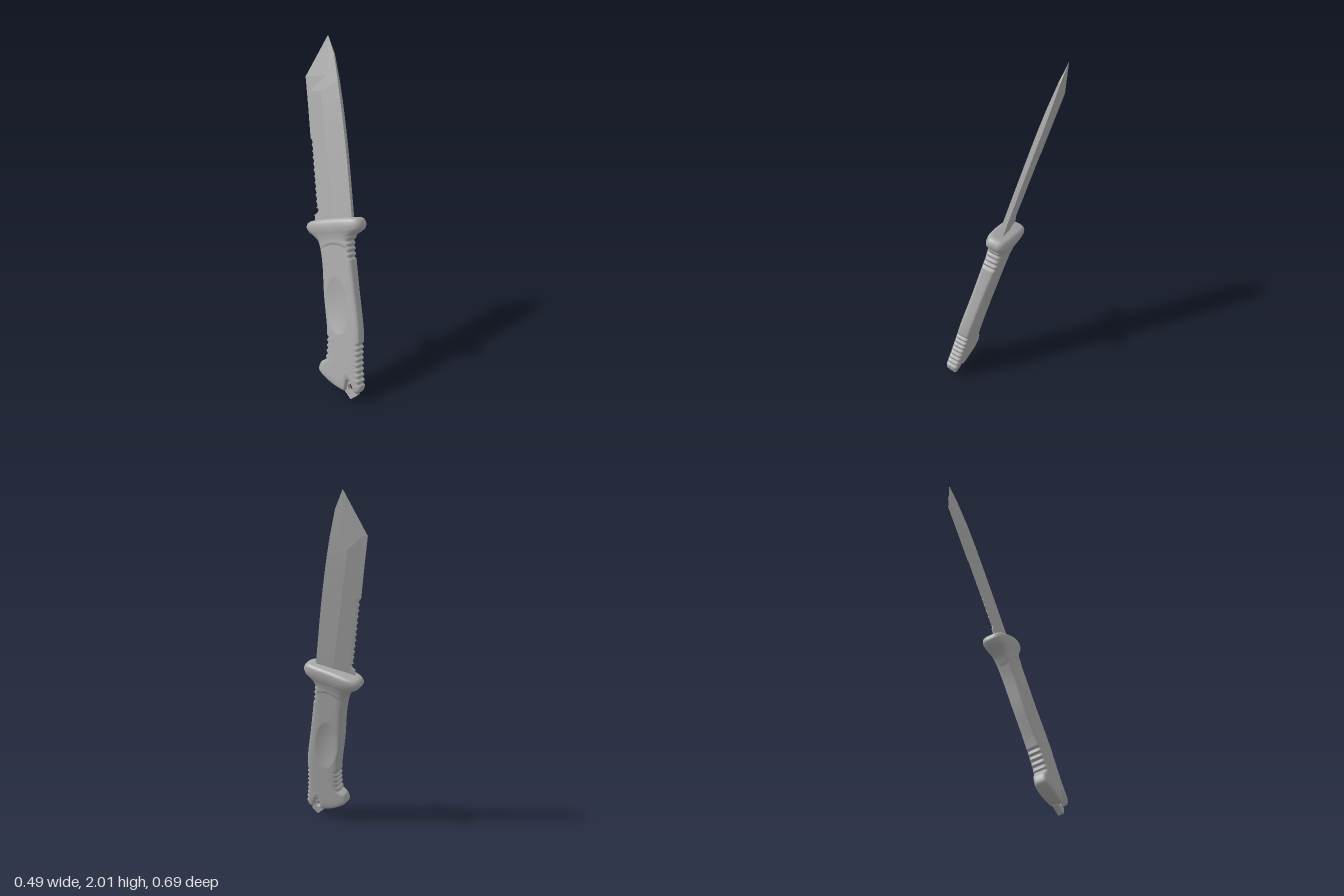
import * as THREE from 'three';

// Local frame: x = across the blade (towards the cutting edge), y = along the knife, z = thickness.

// Skin a list of closed rings, counterclockwise as seen from above.
function skin(rings, capped) {
  const n = rings[0].length, pos = rings.flat(2), idx = [];
  const quad = (a, b, c, d) => idx.push(a, b, c, a, c, d);
  for (let i = 0; i < rings.length - 1; i++) {
    for (let j = 0; j < n; j++) {
      const k = (j + 1) % n;
      quad(i * n + j, i * n + k, (i + 1) * n + k, (i + 1) * n + j);
    }
  }
  if (capped) {
    const top = (rings.length - 1) * n;
    for (let j = 0; j < n / 2; j++) {
      const a = j, b = j + 1, c = n - j - 1, d = (n - j) % n;
      quad(top + a, top + b, top + c, top + d);
      quad(d, c, b, a);
    }
  }
  const geo = new THREE.BufferGeometry();
  geo.setAttribute('position', new THREE.Float32BufferAttribute(pos, 3));
  geo.setIndex(idx);
  geo.computeVertexNormals();
  return geo;
}

// Stations: [left x, left y, right x, right y, half thickness, bow of the middle in y].
// A higher power makes the section boxier.
function loft(stations, count, sides, power, shape) {
  const left = new THREE.CatmullRomCurve3(stations.map(s => new THREE.Vector3(s[0], s[1], s[4])));
  const right = new THREE.CatmullRomCurve3(stations.map(s => new THREE.Vector3(s[2], s[3], s[5])));
  const rings = [];
  for (let i = 0; i <= count; i++) {
    const a = left.getPoint(i / count), b = right.getPoint(i / count), ring = [];
    for (let j = 0; j < sides; j++) {
      const t = j / sides * Math.PI * 2, c = Math.cos(t), s = (1 - c) / 2;
      const p = {
        s,
        x: a.x + (b.x - a.x) * s,
        y: a.y + (b.y - a.y) * s + b.z * 4 * s * (1 - s),
        z: a.z * Math.sign(Math.sin(t)) * Math.pow(Math.max(0, 1 - Math.abs(c) ** power), 1 / power),
      };
      if (j === 0 || j === sides / 2) p.z = 0;
      shape(p);
      ring.push([p.x, p.y, p.z]);
    }
    rings.push(ring);
  }
  return skin(rings, true);
}

// Finger grooves cut into the narrow sides.
function grooves(p) {
  const cut = (from, to) => p.y > from && p.y < to
    ? 0.012 * (0.5 - 0.5 * Math.cos((p.y - from) / 0.032 * Math.PI * 2)) : 0;
  p.x += (cut(-0.045, 0.211) + cut(0.69, 0.85)) * (1 - p.s) ** 10;
  p.x -= cut(0.1, 0.26) * p.s ** 10;
}

function handleShape(p) {
  grooves(p);
  // thumb hollow on both flats
  const r = ((p.x + 0.218) / 0.077) ** 2 + ((p.y - 0.425) / 0.165) ** 2;
  p.z *= 1 - 0.28 * Math.max(0, 1 - r);
  // the butt sits slightly to one side
  p.z += 0.008 * THREE.MathUtils.clamp(1 - p.y / 0.8, 0, 1);
  // lanyard notch in the butt
  const fade = THREE.MathUtils.clamp((0.06 - p.y) / 0.1, 0, 1);
  p.y += 0.07 * fade * Math.exp(-(((p.x + 0.249) / 0.024) ** 4));
}

function bladeGeometry() {
  const rings = [];
  // slight twist towards the base of the spine
  const twist = ([x, y], z) => [x, y, z - 0.016 * (x + 0.1) / 0.25 * (1.993 - y) / 1.06];
  // spine, ridge, shoulder of the teeth and edge on both faces
  const ring = (spine, ridge, shoulder, edge, hs, hr, he) => {
    const half = [[spine, hs], [ridge, hr], [shoulder, 0.0045 * Math.min(1, hr * 100)], [edge, he]];
    rings.push([
      ...half.map(([p, h]) => twist(p, h)),
      ...half.reverse().map(([p, h]) => twist(p, -h))]);
  };
  const spineX = y => -0.349 + 0.031 * Math.max(0, (y - 1.15) / 0.73) ** 2.2;
  const ridgeX = y => -0.236 + 0.021 * (y - 0.9) / 0.774;
  const station = (y, edgeX, he = 0.001) =>
    ring([spineX(y), y], [ridgeX(y), y], [-0.138, y], [edgeX, y], 0.0145, 0.0165, he);
  // base of the blade and the step before the teeth
  station(0.9, -0.1, 0.004);
  station(0.965, -0.103, 0.004);
  station(0.975, -0.122, 0.003);
  station(0.995, -0.13);
  // saw teeth
  for (let i = 0; i < 11; i++) {
    const y = 1.005 + i * 0.037;
    station(y, -0.116);
    station(y + 0.01, -0.124);
    station(y + 0.028, -0.122);
  }
  station(1.412, -0.113);
  station(1.5, -0.113);
  station(1.6, -0.113);
  // angled point
  ring([spineX(1.72), 1.72], [-0.2154, 1.674], [-0.138, 1.694], [-0.112, 1.7], 0.0125, 0.0165, 0.001);
  ring([-0.3166, 1.879], [-0.2667, 1.765], [-0.138, 1.775], [-0.111, 1.778], 0.006, 0.0125, 0.001);
  ring(...Array(4).fill([-0.2846, 1.993]), 0, 0, 0);
  const flat = skin(rings, false).toNonIndexed();
  flat.computeVertexNormals();
  return flat;
}

function lanyardPlate() {
  const plate = new THREE.Shape([
    [-0.284, -0.102], [-0.24, -0.125], [-0.2, -0.07], [-0.2, 0.0], [-0.29, 0.0],
  ].map(p => new THREE.Vector2(...p)));
  const hole = new THREE.Path();
  hole.absarc(-0.2487, -0.053, 0.021, 0, Math.PI * 2, true);
  plate.holes.push(hole);
  return new THREE.ExtrudeGeometry(plate, { depth: 0.032, bevelEnabled: false, curveSegments: 16 })
    .translate(0, 0, -0.016);
}

export function createModel() {
  const grey = new THREE.MeshStandardMaterial({ color: 0xa8a8a8 });
  grey.name = 'grey';
  const model = new THREE.Group();
  model.name = 'knife';
  const add = (name, geo, z) => {
    const mesh = new THREE.Mesh(geo, grey);
    mesh.name = name;
    mesh.position.z = z;
    model.add(mesh);
  };

  add('blade', bladeGeometry(), -0.008);

  add('handle', loft([
    [-0.3, -0.084, -0.068, 0.028, 0.026, -0.032],
    [-0.314, -0.076, -0.055, 0.042, 0.038, -0.032],
    [-0.326, -0.05, -0.05, 0.058, 0.044, -0.025],
    [-0.329, 0.039, -0.066, 0.093, 0.045, -0.005],
    [-0.334, 0.12, -0.101, 0.122, 0.045, 0],
    [-0.342, 0.2, -0.12, 0.21, 0.045, 0],
    [-0.348, 0.289, -0.129, 0.3, 0.045, 0],
    [-0.342, 0.488, -0.127, 0.486, 0.045, 0],
    [-0.337, 0.67, -0.135, 0.68, 0.048, 0],
    [-0.336, 0.8, -0.128, 0.8, 0.05, 0],
  ], 260, 96, 5, handleShape), 0.007);

  add('guard', loft([
    [-0.333, 0.735, -0.138, 0.742, 0.047, 0.045],
    [-0.339, 0.742, -0.131, 0.75, 0.053, 0.045],
    [-0.344, 0.81, -0.116, 0.81, 0.057, 0.01],
    [-0.381, 0.845, -0.083, 0.845, 0.062, 0],
    [-0.411, 0.867, -0.058, 0.867, 0.068, 0],
    [-0.42, 0.893, -0.046, 0.895, 0.071, 0],
    [-0.413, 0.917, -0.056, 0.916, 0.067, 0.004],
    [-0.397, 0.93, -0.075, 0.927, 0.054, 0.006],
    [-0.37, 0.933, -0.1, 0.93, 0.035, 0.006],
  ], 96, 64, 3.5, grooves), 0.007);

  add('lanyardPlate', lanyardPlate(), 0.024);

  // Tilt the whole knife into its leaning pose.
  const along = new THREE.Vector3(0.225, 0.9375, -0.264).normalize();
  const side = new THREE.Vector3(0.963, -0.2545, -0.083);
  side.addScaledVector(along, -side.dot(along)).normalize();
  const across = new THREE.Vector3().crossVectors(along, side);
  model.quaternion.setFromRotationMatrix(new THREE.Matrix4().makeBasis(across, along, side));
  model.position.copy(side).multiplyScalar(-0.247);

  const root = new THREE.Group();
  root.name = 'leaningKnife';
  root.add(model);
  return root;
}
